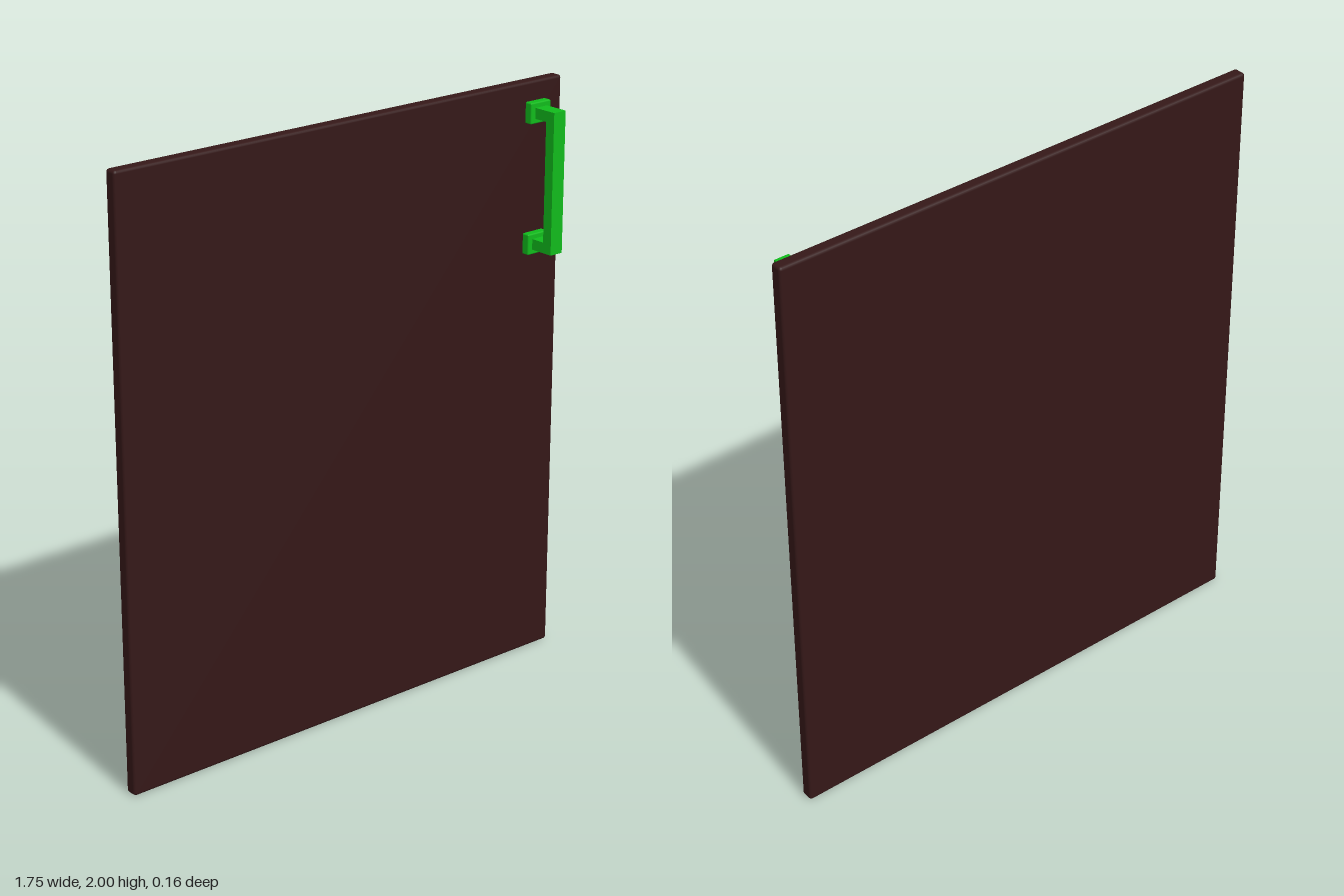
import * as THREE from 'three';
import { RoundedBoxGeometry } from 'three/addons/geometries/RoundedBoxGeometry.js';

const HANDLE_X = 0.765;

export function createModel() {
  const group = new THREE.Group();
  const wood = new THREE.MeshStandardMaterial({ color: 0x351818 });
  const green = new THREE.MeshStandardMaterial({ color: 0x11bb1c });

  const add = (name, geometry, material, x, y, z) => {
    const mesh = new THREE.Mesh(geometry, material);
    mesh.name = name;
    mesh.position.set(x, y, z);
    group.add(mesh);
  };

  // Door slab with softened edges
  add('doorPanel', new RoundedBoxGeometry(1.755, 2, 0.044, 2, 0.01), wood, 0, 1, -0.056);

  // Square mounting plates at both ends of the handle
  for (const [name, y] of [['upperMount', 1.9], ['lowerMount', 1.464]]) {
    add(name, new RoundedBoxGeometry(0.086, 0.07, 0.034, 1, 0.005), green, HANDLE_X, y, -0.025);
  }

  // C-shaped pull: side profile (depth, height) extruded across its width
  const width = 0.05;
  const profile = new THREE.Shape([
    [-0.03, 1.446], [0.078, 1.446], [0.078, 1.918], [-0.03, 1.918],
    [-0.03, 1.882], [0.042, 1.882], [0.042, 1.482], [-0.03, 1.482],
  ].map(([z, y]) => new THREE.Vector2(z, y)));
  const pull = new THREE.ExtrudeGeometry(profile, { depth: width, bevelEnabled: false });
  pull.translate(0, 0, -width / 2).rotateY(-Math.PI / 2);
  add('handlePull', pull, green, HANDLE_X, 0, 0);

  return group;
}
